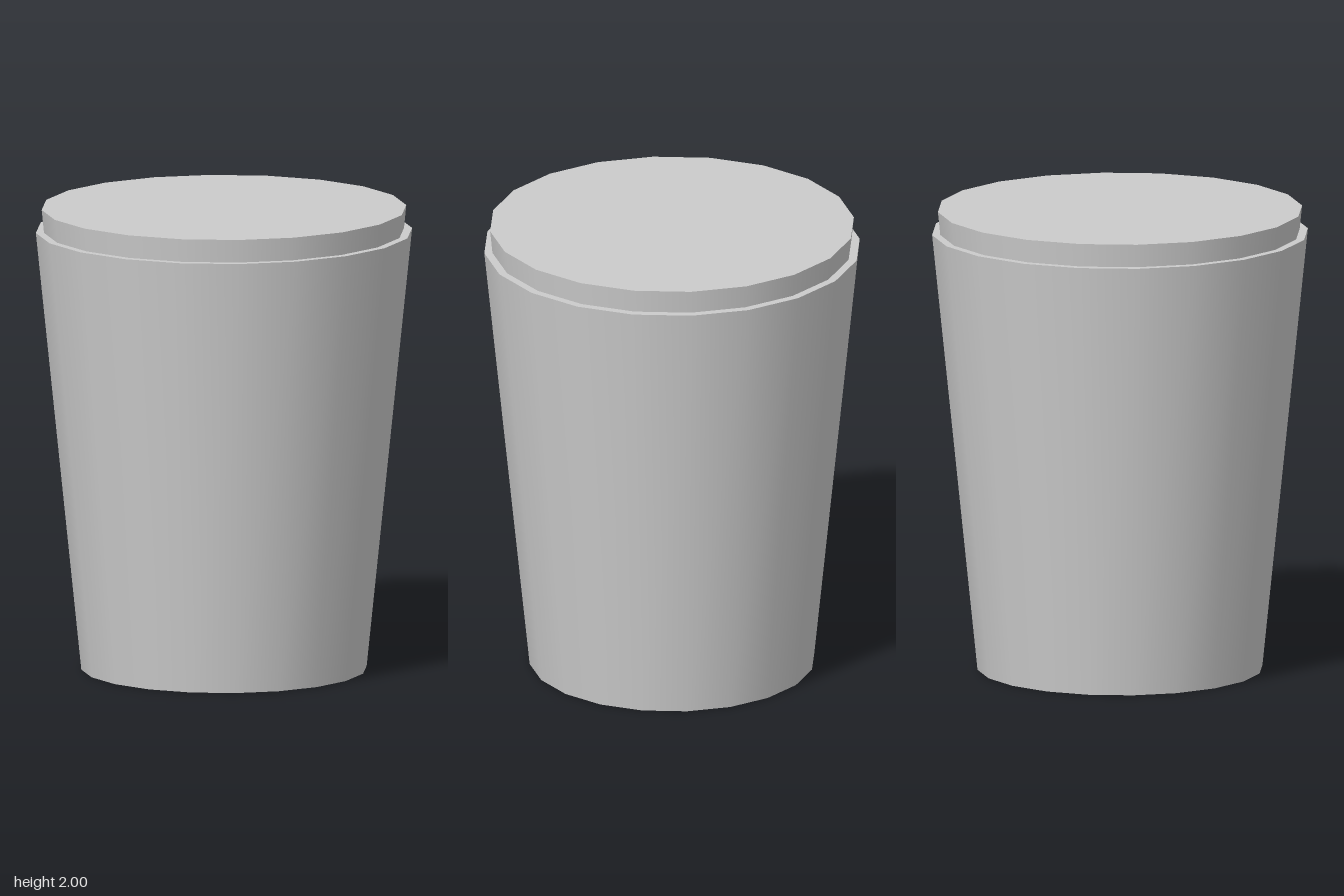
import * as THREE from 'three';

const SIDES = 20;

// Tapered, closed cylinder standing between two heights
function taper(name, rBottom, rTop, y0, y1, material) {
  const geometry = new THREE.CylinderGeometry(rTop, rBottom, y1 - y0, SIDES);
  const mesh = new THREE.Mesh(geometry, material);
  mesh.name = name;
  mesh.position.y = (y0 + y1) / 2;
  return mesh;
}

export function createModel() {
  const group = new THREE.Group();
  group.name = 'cup';
  const material = new THREE.MeshStandardMaterial({ color: 0xcccccc });

  // Outer tapered cup
  group.add(taper('outerCup', 0.612, 0.807, 0, 1.9, material));
  // Nested insert rising above the rim
  group.add(taper('innerInsert', 0.59, 0.782, 0.1, 2, material));

  return group;
}
